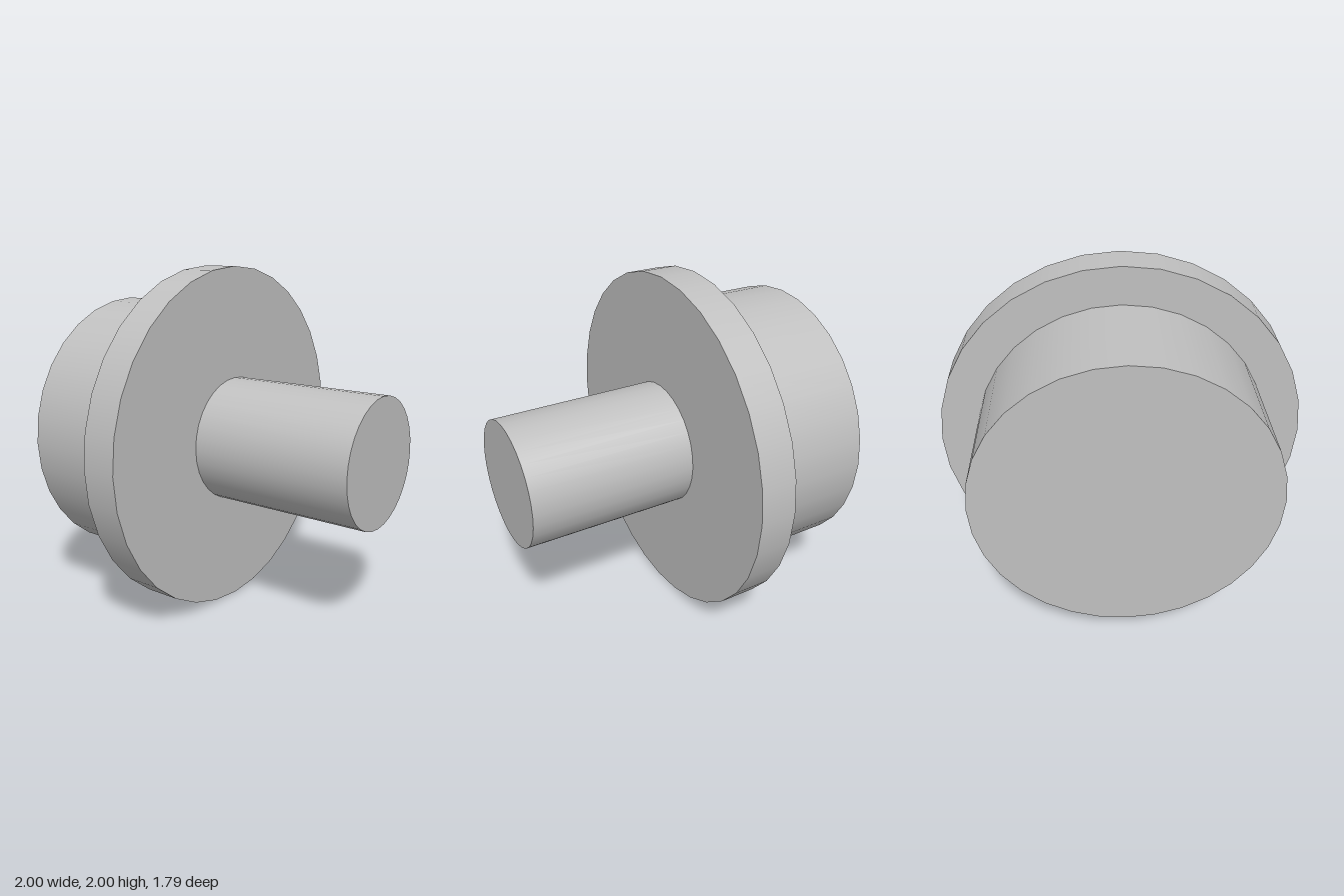
import * as THREE from 'three';

export function createModel() {
  const model = new THREE.Group();
  model.name = 'flangedPlug';

  const grey = new THREE.MeshStandardMaterial({ color: 0xc0c0c0 });
  grey.name = 'plain grey';

  // Round section along the z axis, centred at y = 1
  function addDisc(name, radius, zBack, zFront) {
    const length = zFront - zBack;
    const geometry = new THREE.CylinderGeometry(radius, radius, length, 32);
    geometry.rotateX(Math.PI / 2);
    const mesh = new THREE.Mesh(geometry, grey);
    mesh.name = name;
    mesh.position.set(0, 1, (zBack + zFront) / 2);
    model.add(mesh);
  }

  addDisc('shaft', 0.363, -0.063, 0.897);
  addDisc('flange', 1, -0.272, -0.063);
  addDisc('boss', 0.793, -0.897, -0.272);

  return model;
}
